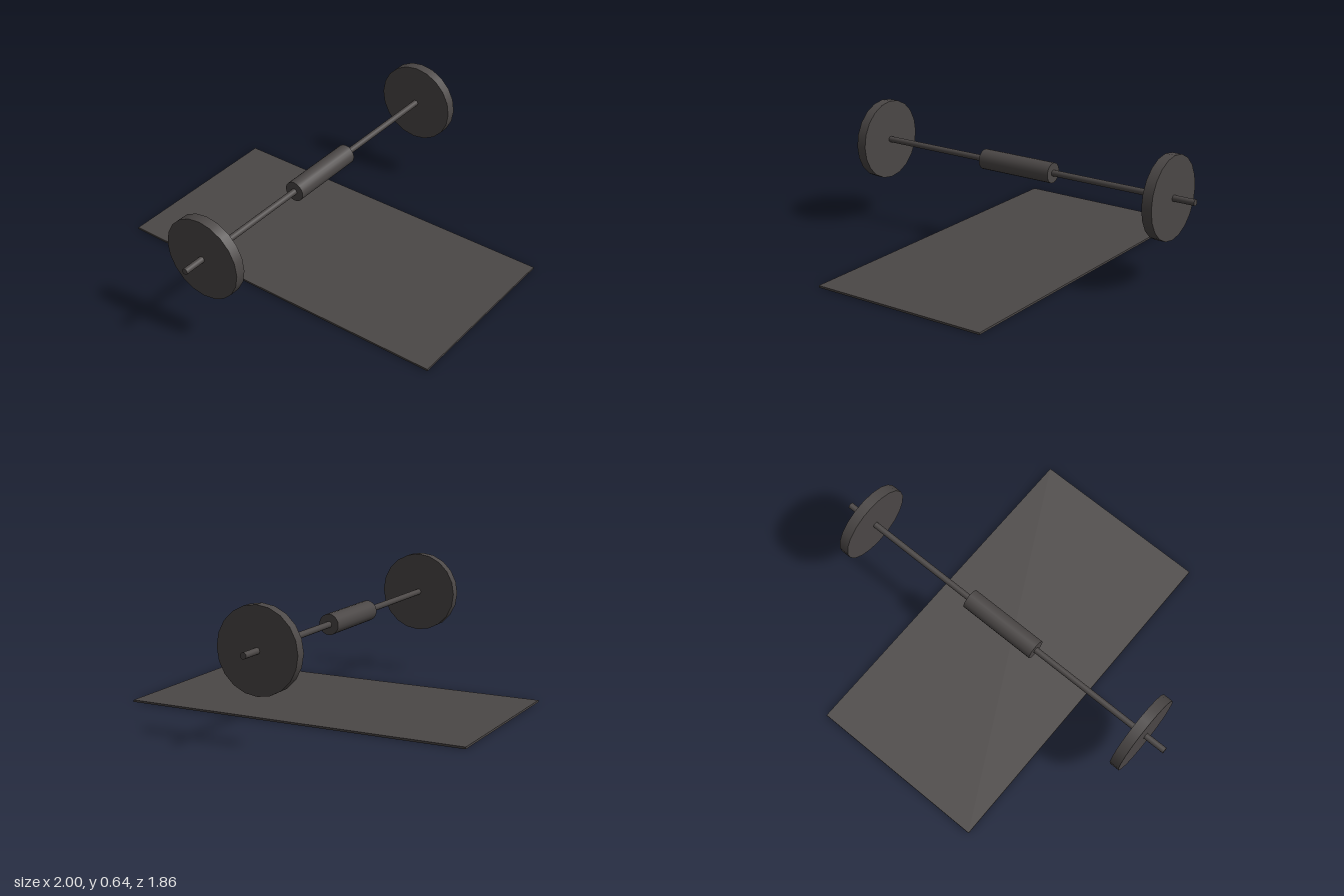
import * as THREE from 'three';

const TURN = THREE.MathUtils.degToRad(-20);

export function createModel() {
  const model = new THREE.Group();
  model.name = 'barbellAndMat';
  const charcoal = new THREE.MeshStandardMaterial({ color: 0x4b4746 });
  charcoal.name = 'charcoal';

  // Thin exercise mat on the floor
  const mat = new THREE.Mesh(new THREE.BoxGeometry(1.786, 0.01, 0.936), charcoal);
  mat.name = 'floorMat';
  mat.position.set(0, 0.005, 0.022);
  mat.rotation.y = TURN;
  model.add(mat);

  // Barbell, built along its own z axis
  const barbell = new THREE.Group();
  barbell.name = 'barbell';
  barbell.position.set(-0.066, 0.436, 0);
  barbell.rotation.y = TURN;
  model.add(barbell);

  const addCylinder = (name, radius, length, z, sides) => {
    const geometry = new THREE.CylinderGeometry(radius, radius, length, sides).rotateX(Math.PI / 2);
    const mesh = new THREE.Mesh(geometry, charcoal);
    mesh.name = name;
    mesh.position.z = z;
    barbell.add(mesh);
  };

  addCylinder('bar', 0.0155, 1.97, 0, 20);
  addCylinder('centreGrip', 0.051, 0.412, 0, 20);
  addCylinder('frontPlate', 0.206, 0.052, 0.846, 20);
  addCylinder('backPlate', 0.206, 0.052, -0.846, 20);

  return model;
}
